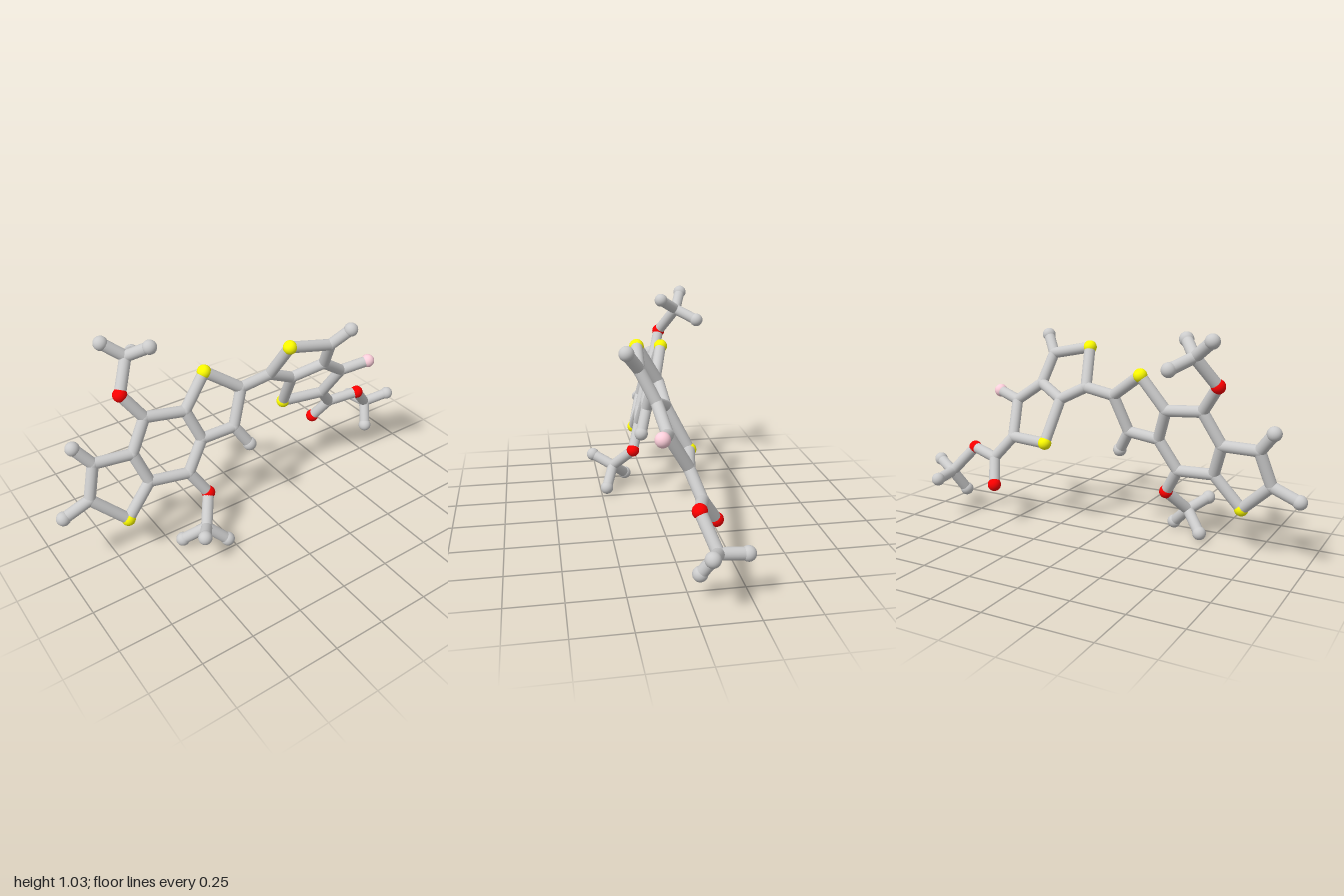
import * as THREE from 'three';

const BOND_R = 0.027, ATOM_R = 0.033, JOINT_R = 0.028;

// Tilted planes of the two flat ring systems: z from x and y
const planeA = (x, y) => -0.012 + 0.146 * (x + 0.45) - 0.251 * (y - 0.515);
const planeB = (x, y) => -0.1 + 0.208 * (x - 0.275) + 0.54 * (y - 0.446);

// name: [element, x, y, z or plane]
const ATOMS = {
  // three fused rings
  a1: ['C', -0.84, 0.37, planeA], a2: ['C', -0.79, 0.53, planeA], a3: ['C', -0.61, 0.525, planeA],
  a4: ['C', -0.56, 0.375, planeA], aS: ['S', -0.69, 0.227, planeA],
  b1: ['C', -0.525, 0.675, planeA], b2: ['C', -0.335, 0.655, planeA],
  b3: ['C', -0.28, 0.505, planeA], b4: ['C', -0.37, 0.36, planeA],
  cS: ['S', -0.215, 0.81, planeA], c1: ['C', -0.05, 0.695, planeA], c2: ['C', -0.115, 0.52, planeA],
  h1: ['H', -0.968, 0.32, planeA], h2: ['H', -0.86, 0.62, planeA], h3: ['H', -0.05, 0.415, planeA],
  // upper side group
  uO: ['O', -0.61, 0.8, planeA], uC: ['C', -0.53, 0.93, -0.185],
  u1: ['H', -0.622, 1.005, -0.225], u2: ['H', -0.455, 0.993, -0.095], u3: ['H', -0.455, 0.884, -0.283],
  // lower side group
  lO: ['O', -0.295, 0.235, planeA], lC: ['C', -0.37, 0.127, 0.18],
  l1: ['H', -0.438, 0.171, 0.28], l2: ['H', -0.28, 0.038, 0.223], l3: ['H', -0.46, 0.043, 0.107],
  // two fused rings
  d1: ['C', 0.105, 0.72, planeB], dS: ['S', 0.14, 0.9, planeB], d2: ['C', 0.36, 0.855, planeB],
  d3: ['C', 0.39, 0.71, planeB], d4: ['C', 0.245, 0.65, planeB],
  e1: ['C', 0.525, 0.615, planeB], e2: ['C', 0.49, 0.445, planeB], eS: ['S', 0.275, 0.446, planeB],
  h4: ['H', 0.427, 0.94, planeB], eF: ['F', 0.66, 0.645, planeB],
  // end group
  f1: ['C', 0.58, 0.335, planeB], fO: ['O', 0.533, 0.217, planeB], gO: ['O', 0.735, 0.36, planeB],
  gC: ['C', 0.85, 0.227, -0.103],
  g1: ['H', 0.966, 0.268, -0.053], g2: ['H', 0.81, 0.12, -0.04], g3: ['H', 0.845, 0.215, -0.227],
};

// Chains of bonded atoms
const CHAINS = [
  'a1 a2 a3 a4 aS a1', 'a3 b1 b2 b3 b4 a4', 'b2 cS c1 c2 b3', 'a1 h1', 'a2 h2', 'c2 h3',
  'b1 uO uC u1', 'u2 uC u3', 'b4 lO lC l1', 'l2 lC l3',
  'c1 d1 dS d2 d3 d4 d1', 'd3 e1 e2 eS d4', 'd2 h4', 'e1 eF',
  'e2 f1 fO', 'f1 gO gC g1', 'g2 gC g3',
];

const KINDS = {
  C: ['jointAtom', 0xcccccc, JOINT_R],
  H: ['endAtom', 0xcccccc, ATOM_R],
  S: ['yellowAtom', 0xffff00, ATOM_R],
  O: ['redAtom', 0xff0000, ATOM_R],
  F: ['pinkAtom', 0xffd0dc, ATOM_R],
};

export function createModel() {
  const model = new THREE.Group();
  model.name = 'molecule';
  const atoms = new THREE.Group();
  atoms.name = 'atoms';
  const bonds = new THREE.Group();
  bonds.name = 'bonds';
  model.add(atoms, bonds);

  const kinds = {};
  for (const [key, [name, color, radius]] of Object.entries(KINDS)) {
    kinds[key] = {
      name,
      geometry: new THREE.SphereGeometry(radius, 24, 16),
      material: new THREE.MeshStandardMaterial({ color }),
    };
  }

  // Atoms
  const points = {};
  for (const [id, [element, x, y, z]] of Object.entries(ATOMS)) {
    const kind = kinds[element];
    const ball = new THREE.Mesh(kind.geometry, kind.material);
    ball.name = kind.name;
    ball.position.set(x, y, typeof z === 'function' ? z(x, y) : z);
    points[id] = ball.position;
    atoms.add(ball);
  }

  // Bonds: a rod between each neighbouring pair
  const up = new THREE.Vector3(0, 1, 0);
  const addBond = (from, to) => {
    const span = to.clone().sub(from);
    const rod = new THREE.Mesh(
      new THREE.CylinderGeometry(BOND_R, BOND_R, span.length(), 20, 1, true), kinds.C.material);
    rod.name = 'bond';
    rod.position.copy(from).add(to).multiplyScalar(0.5);
    rod.quaternion.setFromUnitVectors(up, span.normalize());
    bonds.add(rod);
  };
  for (const chain of CHAINS) {
    const ids = chain.split(' ');
    for (let i = 1; i < ids.length; i++) addBond(points[ids[i - 1]], points[ids[i]]);
  }
  return model;
}
